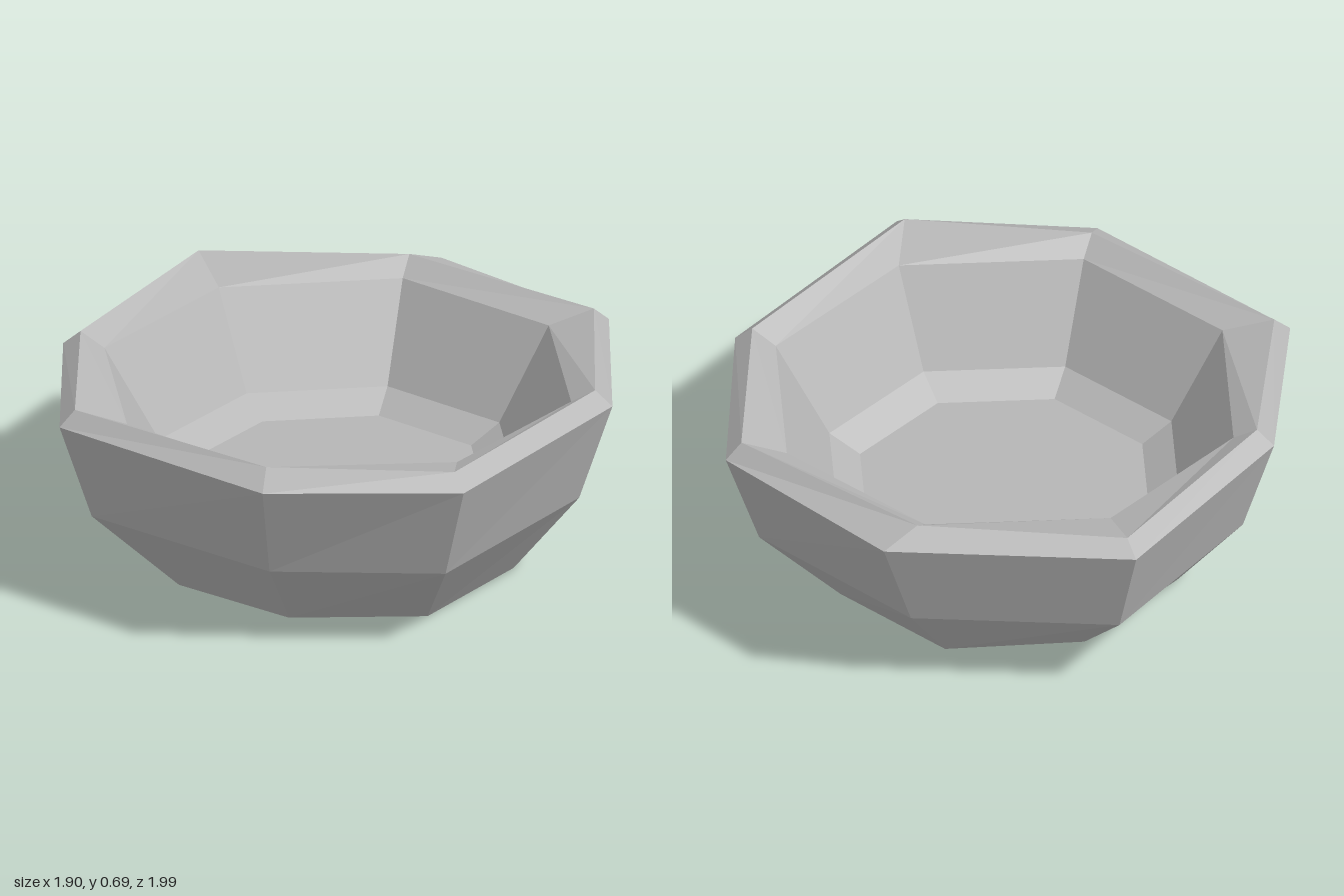
import * as THREE from 'three';

// Each ring runs from the front (+z) round through +x, eight [x, y, z] corners
const regular = (r, y) => Array.from({ length: 8 }, (_, i) => {
  const a = (i * Math.PI) / 4;
  return [r * Math.sin(a), y, r * Math.cos(a)];
});
const level = (y, points) => points.map(([x, z]) => [x, y, z]);

// Foot: regular, with slightly uneven corner heights
const footHeights = [0.02, 0, 0.01, 0.005, 0, 0.01, 0.015, 0.01];
const foot = regular(0.608, 0).map(([x, , z], i) => [x, footHeights[i], z]);

// Hand-shaped outer rings
const belly = level(0.295, [[0, 0.85], [0.57, 0.71], [0.835, 0], [0.66, -0.595],
  [0.03, -0.87], [-0.64, -0.68], [-0.84, 0], [-0.69, 0.58]]);
const rimOuter = level(0.643, [[0.015, 0.99], [0.66, 0.808], [0.95, 0], [0.75, -0.675],
  [0.08, -1], [-0.73, -0.77], [-0.95, 0], [-0.78, 0.657]]);
const rimTop = level(0.695, [[0, 0.89], [0.615, 0.76], [0.89, 0], [0.71, -0.632],
  [0, -0.89], [-0.685, -0.73], [-0.89, 0], [-0.738, 0.617]]);

// Regular inner rings
const rimInner = regular(0.807, 0.643);
const hollow = regular(0.618, 0.33);
const floorEdge = regular(0.51, 0.27);

function facets(name, triangles, material) {
  const geometry = new THREE.BufferGeometry();
  geometry.setAttribute('position', new THREE.Float32BufferAttribute(triangles.flat(2), 3));
  geometry.computeVertexNormals();
  const mesh = new THREE.Mesh(geometry, material);
  mesh.name = name;
  return mesh;
}

// Quads joining successive rings
function loft(rings) {
  const triangles = [];
  for (let k = 0; k < rings.length - 1; k++) {
    for (let i = 0; i < 8; i++) {
      const j = (i + 1) % 8;
      const a = rings[k][i], b = rings[k][j], c = rings[k + 1][j], d = rings[k + 1][i];
      triangles.push([a, b, c], [a, c, d]);
    }
  }
  return triangles;
}

// Fan closing a ring, facing up or down
function cap(ring, y, up) {
  const centre = [0, y, 0];
  return ring.map((p, i) => {
    const q = ring[(i + 1) % 8];
    return up ? [centre, p, q] : [centre, q, p];
  });
}

export function createModel() {
  const stone = new THREE.MeshStandardMaterial({ color: 0xb6b6b6 });
  stone.name = 'grey stone';
  stone.flatShading = true;

  const bowl = new THREE.Group();
  bowl.name = 'bowl';
  bowl.add(
    facets('base', cap(foot, 0.008, false), stone),
    facets('outerWall', loft([foot, belly, rimOuter]), stone),
    facets('rim', loft([rimOuter, rimTop, rimInner]), stone),
    facets('innerWall', loft([rimInner, hollow, floorEdge]), stone),
    facets('bowlFloor', cap(floorEdge, 0.27, true), stone),
  );
  return bowl;
}
